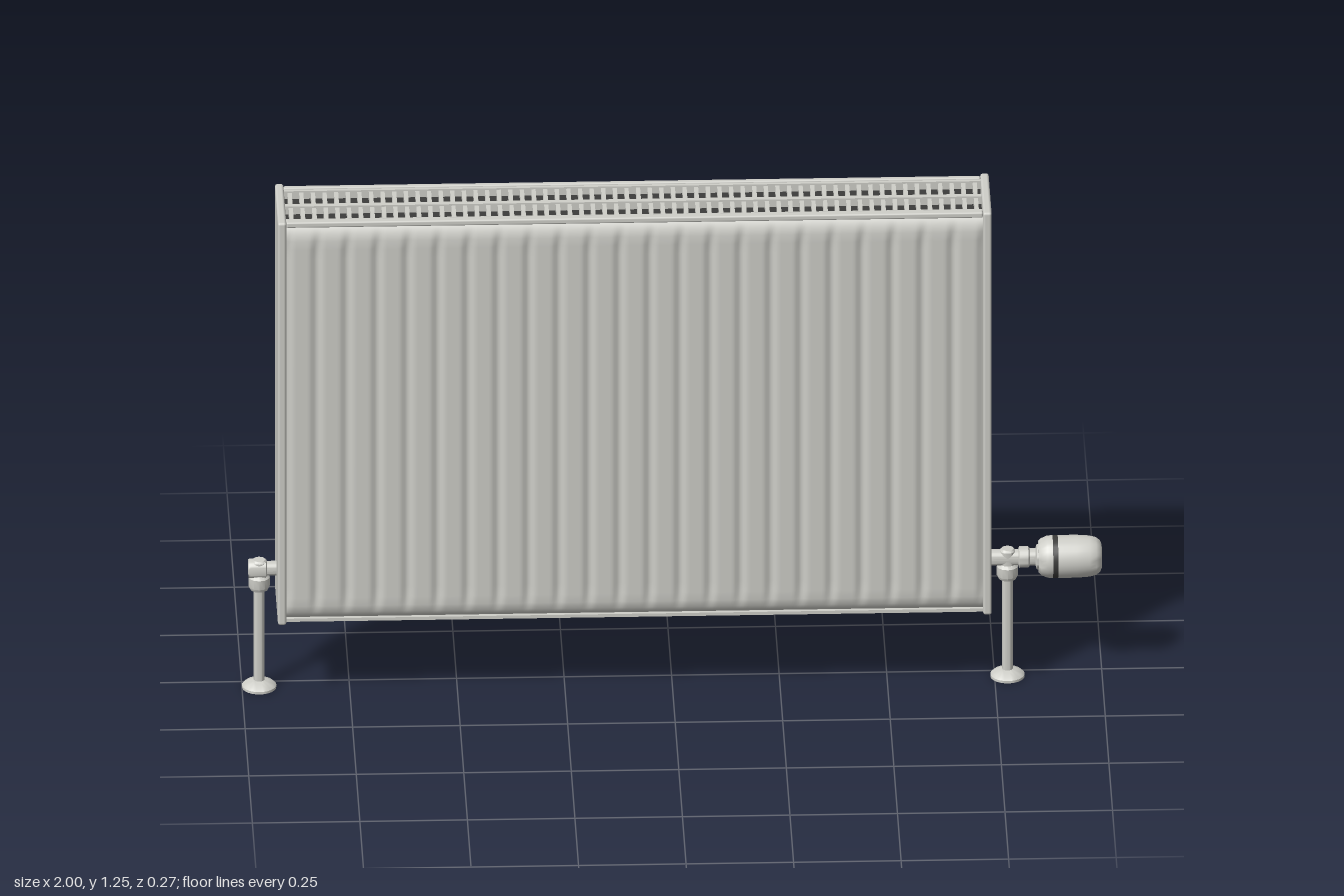
import * as THREE from 'three';
import { toCreasedNormals } from 'three/addons/utils/BufferGeometryUtils.js';
import { RoundedBoxGeometry } from 'three/addons/geometries/RoundedBoxGeometry.js';

export function createModel() {
  const model = new THREE.Group();
  const enamel = new THREE.MeshStandardMaterial({ color: 0xcfcfc9, side: THREE.DoubleSide });
  enamel.name = 'warm grey enamel';
  const dark = new THREE.MeshStandardMaterial({ color: 0x3c3c3b });
  dark.name = 'dark interior';

  const add = (name, geo, mat = enamel, parent = model) => {
    const mesh = new THREE.Mesh(geo, mat);
    mesh.name = name;
    parent.add(mesh);
    return mesh;
  };
  // Box given by its min and max on each axis
  const box = (name, x0, x1, y0, y1, z0, z1, mat = enamel, parent = model, r = 0) => {
    const s = [x1 - x0, y1 - y0, z1 - z0];
    const geo = r ? new RoundedBoxGeometry(...s, 2, r) : new THREE.BoxGeometry(...s);
    const mesh = add(name, geo, mat, parent);
    mesh.position.set((x0 + x1) / 2, (y0 + y1) / 2, (z0 + z1) / 2);
    return mesh;
  };
  // Turned part from [radius, height] pairs, axis along y
  const turned = (name, pts, parent, mat = enamel, sides = 28) => add(name, toCreasedNormals(
    new THREE.LatheGeometry(pts.map(p => new THREE.Vector2(...p)), sides), 0.6), mat, parent);

  // End panels
  const X0 = -0.9, X1 = 0.72;
  box('rightEndPanel', -0.92, X0, 0.21, 1.25, -0.077, 0.138, enamel, model, 0.006);
  box('leftEndPanel', X1, 0.74, 0.21, 1.25, -0.077, 0.138, enamel, model, 0.006);

  // Ribbed front panel: shallow grooves that fade into rolled top and bottom edges
  const ribs = 23, yLow = 0.216, yHigh = 1.236;
  const front = new THREE.PlaneGeometry(1, 1, ribs * 12, 32);
  const p = front.attributes.position;
  for (let i = 0; i < p.count; i++) {
    const u = p.getX(i) + 0.5;
    const v = 0.5 + 0.5 * Math.sin(p.getY(i) * Math.PI);
    const y = yLow + v * (yHigh - yLow);
    const edge = Math.min(y - yLow, yHigh - y);
    const roll = 0.02 * Math.max(0, 1 - edge / 0.04) ** 2;
    const phase = u * ribs - Math.round(u * ribs);
    const groove = THREE.MathUtils.smoothstep(0.25 - Math.abs(phase), 0, 0.25);
    const fade = THREE.MathUtils.smoothstep(edge, 0.015, 0.06);
    p.setXYZ(i, X0 + u * (X1 - X0), y, 0.129 - roll - 0.007 * groove * fade);
  }
  front.computeVertexNormals();
  add('ribbedFrontPanel', front);

  // Back panel, rails and dark core
  box('backPanel', X0, X1, 0.216, 1.24, -0.072, -0.064);
  box('frontTopRail', X0, X1, 1.232, 1.246, 0.106, 0.127, enamel, model, 0.004);
  box('backTopRail', X0, X1, 1.232, 1.246, -0.072, -0.058, enamel, model, 0.004);
  box('frontBottomRail', X0, X1, 0.212, 0.22, 0.106, 0.122);
  box('core', X0, X1, 0.222, 1.215, -0.064, 0.108, dark);

  // Top grille
  const grille = new THREE.Group();
  grille.name = 'topGrille';
  model.add(grille);
  const slats = 60;
  for (let i = 0; i < slats; i++) {
    const x = X0 + (i + 0.5) * (X1 - X0) / slats;
    box('grilleSlat', x - 0.005, x + 0.005, 1.218, 1.238, -0.06, 0.108, enamel, grille);
  }
  for (const [z, w] of [[-0.054, 0.005], [0.025, 0.007], [0.103, 0.005]])
    box('grilleBar', X0, X1, 1.222, 1.242, z - w, z + w, enamel, grille);

  // Wall brackets: shallow boxes open to the back
  for (const x of [-0.613, 0.427]) {
    const bracket = new THREE.Group();
    bracket.name = 'wallBracket';
    model.add(bracket);
    const w = 0.029, t = 0.003;
    for (const s of [-1, 1]) {
      const a = x + s * w, b = x + s * (w - t);
      box('bracketSide', Math.min(a, b), Math.max(a, b), 0.47, 1.09, -0.137, -0.07, enamel, bracket);
    }
    for (const y of [0.47, 1.087])
      box('bracketCap', x - w, x + w, y, y + t, -0.137, -0.07, enamel, bracket);
  }

  // Supply pipes with floor collars and elbow sockets
  const pipeZ = 0.03;
  for (const [name, x] of [['rightPipe', -0.96], ['leftPipe', 0.78]]) {
    const pipe = new THREE.Group();
    pipe.name = name;
    pipe.position.set(x, 0, pipeZ);
    model.add(pipe);
    turned('pipe', [[0, 0.002], [0.0125, 0.002], [0.0125, 0.29]], pipe);
    turned('floorCollar', [[0.0125, 0.004], [0.04, 0], [0.04, 0.006], [0.034, 0.012], [0.02, 0.018], [0.0125, 0.02]], pipe);
    turned('pipeNut', [[0.0125, 0.252], [0.021, 0.254], [0.025, 0.262], [0.025, 0.285], [0.0185, 0.292]], pipe, enamel, 12);
    turned('elbowSocket', [[0.0185, 0.285], [0.0185, 0.325], [0.014, 0.33], [0, 0.33]], pipe);
  }

  // Horizontal fittings, turned along +x
  const along = (mesh, y = 0.307) => {
    mesh.rotation.z = -Math.PI / 2;
    mesh.position.set(0, y, pipeZ);
  };
  along(turned('rightElbow', [[0, -0.985], [0.022, -0.985], [0.023, -0.98], [0.023, -0.945],
    [0.017, -0.942], [0.017, -0.915]], model));
  along(turned('valveBody', [[0.019, 0.735], [0.019, 0.805], [0.025, 0.807], [0.025, 0.828],
    [0.02, 0.832], [0.02, 0.845], [0.03, 0.848], [0.03, 0.856]], model));
  along(turned('valveHeadBase', [[0, 0.852], [0.037, 0.852], [0.043, 0.858], [0.049, 0.872],
    [0.05, 0.886], [0.046, 0.886]], model));
  along(turned('valveRing', [[0.04, 0.885], [0.0503, 0.885], [0.0503, 0.897], [0.04, 0.897]], model, dark));
  along(turned('valveHead', [[0.046, 0.896], [0.05, 0.896], [0.05, 0.94], [0.048, 0.97], [0.044, 0.986],
    [0.037, 0.995], [0.028, 0.999], [0, 1]], model));

  return model;
}
